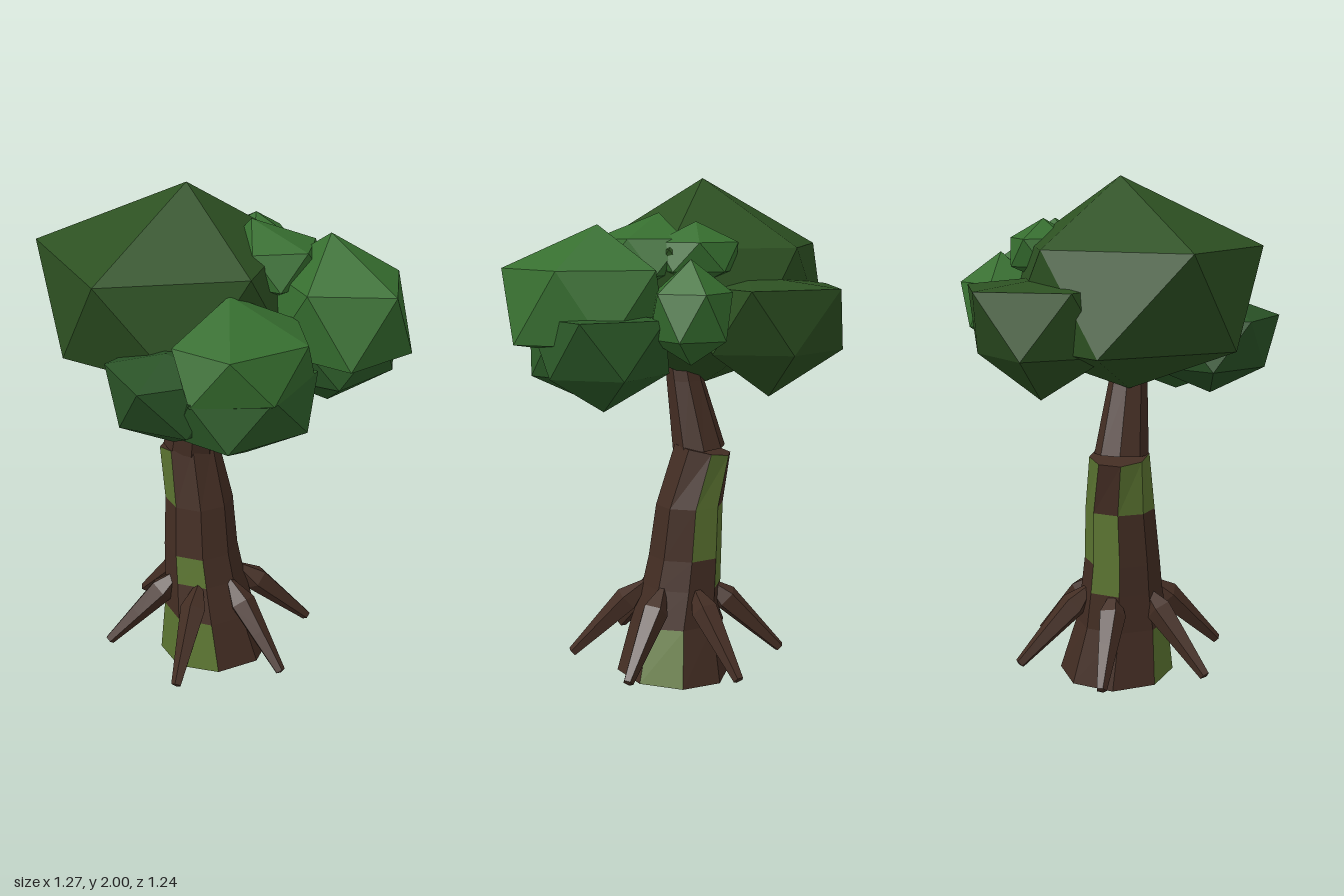
import * as THREE from 'three';
import { ConvexGeometry } from 'three/addons/geometries/ConvexGeometry.js';

const mat = (name, color) => Object.assign(new THREE.MeshStandardMaterial({ color }), { name });
const rad = THREE.MathUtils.degToRad;

// Ring of points about (x, z); tilt raises the +x side, twist turns the ring.
const SIDES = 8;
function ring({ x, y, z, r, twist = 0, tilt = 0 }) {
  return Array.from({ length: SIDES }, (_, k) => {
    const a = rad(twist - 35 + (k * 360) / SIDES);
    const dx = Math.sin(a) * r;
    return [x + dx, y + dx * tilt, z + Math.cos(a) * r];
  });
}

function flatGeometry(triangles) {
  const g = new THREE.BufferGeometry();
  g.setAttribute('position', new THREE.Float32BufferAttribute(triangles.flat(2), 3));
  g.computeVertexNormals();
  return g;
}

// Lofts rings into a capped tube; patches ("segment:side") go to a second geometry.
function loft(sections, patches = []) {
  const rings = sections.map(ring);
  const bark = [], moss = [];
  for (let s = 0; s < rings.length - 1; s++) {
    for (let k = 0; k < SIDES; k++) {
      const n = (k + 1) % SIDES;
      const a = rings[s][k], b = rings[s][n], c = rings[s + 1][n], d = rings[s + 1][k];
      (patches.includes(`${s}:${k}`) ? moss : bark).push([a, b, c], [a, c, d]);
    }
  }
  const low = rings[0], top = rings[rings.length - 1];
  for (let k = 1; k < SIDES - 1; k++) {
    bark.push([low[0], low[k + 1], low[k]], [top[0], top[k], top[k + 1]]);
  }
  return { bark: flatGeometry(bark), moss: flatGeometry(moss) };
}

// Stretched twenty-sided clump: apex, two staggered five-corner rings and a bottom point.
// reach and low scale the corners of the upper and lower ring.
const EVEN = [1, 1, 1, 1, 1];
function leafClump({ at, size, turn, lean = [0, 0], heights = [0.38, -0.5], reach = EVEN, low = EVEN }) {
  const point = (x, y, z) => new THREE.Vector3(x, y, z).multiply(new THREE.Vector3(...size)).add(new THREE.Vector3(...at));
  const corners = [point(lean[0], 1, lean[1]), point(0, -1, 0)];
  for (let k = 0; k < 5; k++) {
    const up = rad(turn + 72 * k), down = up + rad(36);
    corners.push(
      point(Math.sin(up) * reach[k], heights[0], Math.cos(up) * reach[k]),
      point(Math.sin(down) * low[k], heights[1], Math.cos(down) * low[k]),
    );
  }
  return new ConvexGeometry(corners);
}

export function createModel() {
  const tree = new THREE.Group();
  tree.name = 'tree';
  const bark = mat('bark brown', 0x432d23);
  const moss = mat('moss green', 0x5b7431);
  const dark = mat('dark leaf green', 0x2d5122);
  const deep = mat('deep leaf green', 0x295226);
  const mid = mat('middle leaf green', 0x2c5a28);
  const bright = mat('bright leaf green', 0x366e2f);

  const add = (name, geometry, material, parent = tree) => {
    const mesh = new THREE.Mesh(geometry, material);
    mesh.name = name;
    parent.add(mesh);
    return mesh;
  };

  // Lower trunk with mossy facets
  const lower = loft([
    { x: 0.005, y: 0.015, z: 0.02, r: 0.23, tilt: 0.06 },
    { x: -0.005, y: 0.23, z: 0.045, r: 0.185 },
    { x: -0.03, y: 0.38, z: 0.05, r: 0.162 },
    { x: -0.045, y: 0.5, z: 0.055, r: 0.15 },
    { x: -0.062, y: 0.71, z: 0.05, r: 0.137 },
    { x: -0.115, y: 0.935, z: 0.06, r: 0.117, twist: 6, tilt: 0.2 },
  ], ['0:0', '0:1', '0:4', '2:1', '2:6', '3:5', '3:6', '4:5', '4:7', '4:0']);
  add('lowerTrunk', lower.bark, bark);
  add('mossPatches', lower.moss, moss);

  // Upper trunk reaching into the crown
  const upper = loft([
    { x: -0.1, y: 0.935, z: 0.065, r: 0.106, tilt: -0.1 },
    { x: -0.045, y: 1.21, z: 0.077, r: 0.076 },
    { x: -0.01, y: 1.42, z: 0.08, r: 0.06 },
  ]);
  add('upperTrunk', upper.bark, bark);

  // Six splayed roots
  const profile = [[0, 0], [0.055, 0.14], [0.04, 0.28], [0.021, 0.455], [0, 0.46]];
  const rootGeometry = new THREE.LatheGeometry(profile.map(([r, h]) => new THREE.Vector2(r, h)), 5).toNonIndexed();
  rootGeometry.computeVertexNormals();
  const roots = new THREE.Group();
  roots.name = 'roots';
  tree.add(roots);
  for (let i = 0; i < 6; i++) {
    const a = rad(34 + 60 * i);
    const at = (r, y) => new THREE.Vector3(-0.01 + Math.sin(a) * r, y, 0.04 + Math.cos(a) * r);
    const start = at(0.1, 0.41);
    const root = add('root', rootGeometry, bark, roots);
    root.position.copy(start);
    root.quaternion.setFromUnitVectors(new THREE.Vector3(0, 1, 0), at(0.43, 0.09).sub(start).normalize());
  }

  // Crown of overlapping faceted clumps
  const crown = new THREE.Group();
  crown.name = 'crown';
  tree.add(crown);
  const clump = (name, material, shape) => add(name, leafClump(shape), material, crown);

  clump('mainLeafClump', dark, {
    at: [-0.125, 1.6, 0.1], size: [0.48, 0.4, 0.48], turn: 18, lean: [0.03, -0.08],
    heights: [0.35, -0.57], reach: [1.06, 0.91, 0.97, 0.87, 1.18], low: [0.94, 0.94, 0.98, 1, 0.95],
  });
  clump('backLeafClump', dark, {
    at: [-0.36, 1.41, -0.18], size: [0.28, 0.23, 0.29], turn: 20, lean: [0.3, 0.2],
    heights: [0.82, -0.22], reach: [1, 1, 1.12, 1.06, 1.04], low: [1, 1, 0.8, 1, 1],
  });
  clump('frontLeafClump', deep, {
    at: [0.19, 1.335, 0.36], size: [0.25, 0.19, 0.26], turn: 30, lean: [0.2, 0.25],
    heights: [0.6, -0.4], reach: [1.13, 1, 1, 1, 0.95], low: [0.9, 1, 1, 1, 0.85],
  });
  clump('backLowLeafClump', mid, {
    at: [0.26, 1.335, -0.34], size: [0.27, 0.19, 0.29], turn: 22,
    heights: [0.85, -0.25], low: [0.9, 0.88, 0.85, 0.9, 0.9],
  });
  clump('sideLeafClump', bright, {
    at: [0.39, 1.49, 0.19], size: [0.21, 0.2, 0.28], turn: 46, lean: [-0.55, -0.08], reach: [0.94, 1, 1, 1, 1],
  });
  clump('sideLowLeafClump', mid, { at: [0.39, 1.285, 0.18], size: [0.2, 0.16, 0.29], turn: 10, heights: [0.75, -0.35] });
  clump('backRightLeafClump', bright, {
    at: [0.33, 1.595, -0.31], size: [0.3, 0.235, 0.265], turn: 18, lean: [-0.17, 0],
    heights: [0.33, -0.8], reach: [0.95, 1, 0.9, 1.1, 0.95],
  });
  clump('backSmallLeafClump', bright, { at: [-0.06, 1.52, -0.43], size: [0.15, 0.19, 0.16], turn: 56 });
  clump('topBackLeafClump', bright, { at: [-0.08, 1.72, -0.25], size: [0.16, 0.12, 0.13], turn: 40 });
  clump('topSmallLeafClump', bright, {
    at: [0.13, 1.72, -0.18], size: [0.18, 0.15, 0.2], turn: 20, lean: [-0.4, 0.35], reach: [0.9, 0.9, 0.8, 1.12, 0.95],
  });
  return tree;
}
